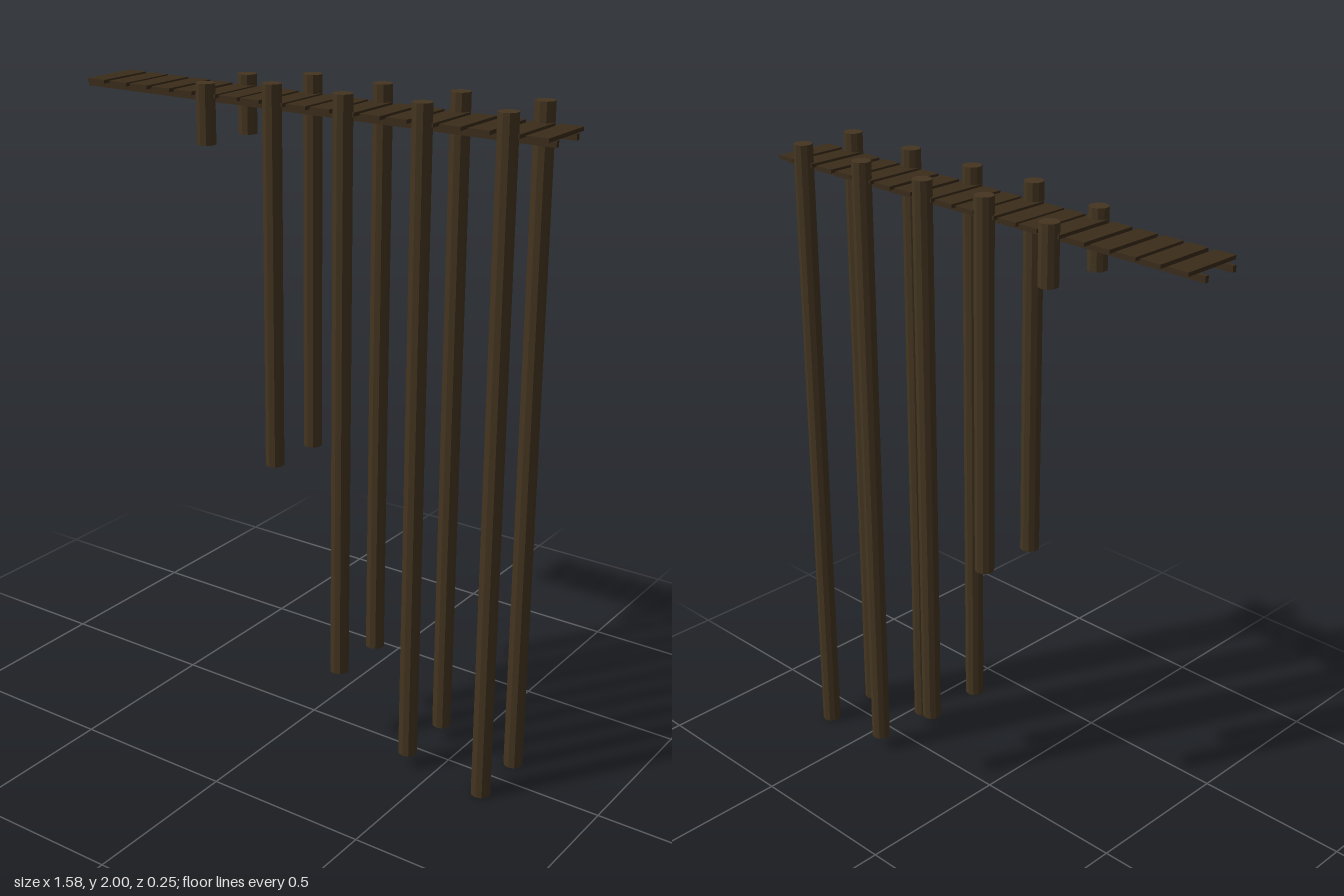
import * as THREE from 'three';

export function createModel() {
  const model = new THREE.Group();
  model.name = 'pier';
  const postWood = new THREE.MeshStandardMaterial({ color: 0x443520, flatShading: true });
  const deckWood = new THREE.MeshStandardMaterial({ color: 0x3a2c1a, flatShading: true });

  const add = (name, geometry, material, x, y, z) => {
    const mesh = new THREE.Mesh(geometry, material);
    mesh.name = name;
    mesh.position.set(x, y, z);
    model.add(mesh);
  };

  // Pairs of posts reaching down a sloping bed: x, bottom, top
  const posts = [
    [-0.309, 1.8, 1.975],
    [-0.074, 0.865, 1.997],
    [0.164, 0.245, 1.994],
    [0.414, 0.048, 1.997],
    [0.668, 0, 2],
  ];
  for (const [x, bottom, top] of posts) {
    const geometry = new THREE.CylinderGeometry(0.029, 0.029, top - bottom, 10);
    for (const side of [-1, 1]) {
      add(side > 0 ? 'frontPost' : 'backPost', geometry, postWood, x, (top + bottom) / 2, side * 0.097);
    }
  }

  // Two long beams under the deck
  const beam = new THREE.BoxGeometry(1.576, 0.018, 0.013);
  for (const side of [-1, 1]) {
    add(side > 0 ? 'frontBeam' : 'backBeam', beam, deckWood, 0, 1.924, side * 0.055);
  }

  // Deck planks, slightly unevenly spaced
  const plank = new THREE.BoxGeometry(0.065, 0.011, 0.19);
  const plankX = [
    -0.729, -0.643, -0.563, -0.479, -0.395, -0.309, -0.231, -0.155, -0.074, 0.004,
    0.084, 0.164, 0.248, 0.332, 0.414, 0.496, 0.582, 0.668, 0.751,
  ];
  for (const x of plankX) add('plank', plank, deckWood, x, 1.9385, 0);

  return model;
}
